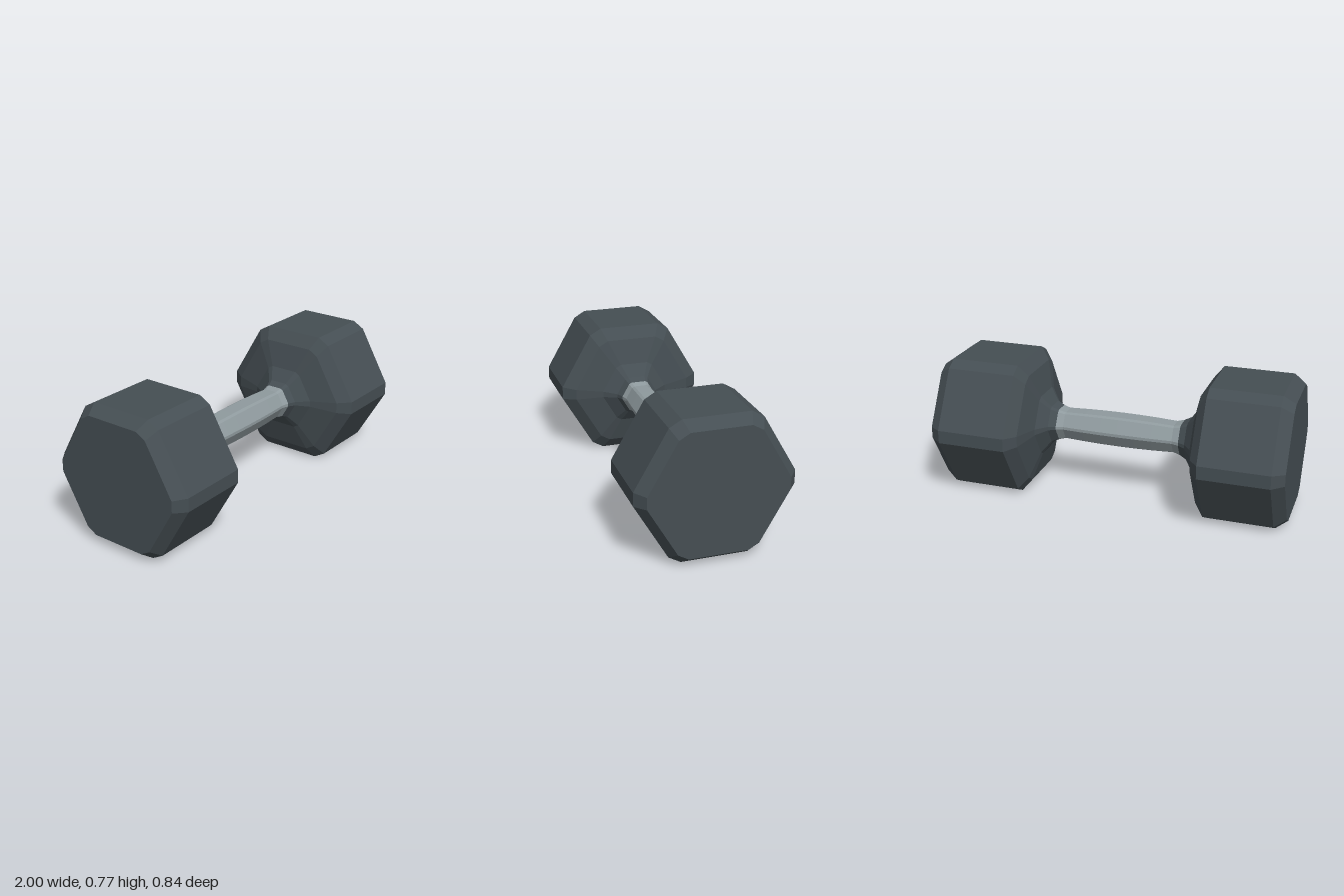
import * as THREE from 'three';

const CENTRE_Y = 0.384;

// Hexagon with bevelled corners as [y, z], counter-clockwise seen from +x
function hexSection() {
  const points = [];
  for (let k = 0; k < 6; k++) {
    const a = k * Math.PI / 3;
    for (const side of [-0.178, 0.178]) {
      points.push([
        0.383 * Math.cos(a) - side * Math.sin(a),
        0.383 * Math.sin(a) + side * Math.cos(a),
      ]);
    }
  }
  return points;
}

// Skin the section along x; stations are [x, scale] with x increasing
function loft(stations, capEnd) {
  const section = hexSection();
  const n = section.length;
  const positions = [];
  const index = [];
  for (const [x, s] of stations) {
    for (const [y, z] of section) positions.push(x, y * s, z * s);
  }
  for (let i = 0; i < stations.length - 1; i++) {
    for (let j = 0; j < n; j++) {
      const a = i * n + j;
      const b = i * n + (j + 1) % n;
      index.push(a, b, b + n, a, b + n, a + n);
    }
  }
  if (capEnd) {
    const base = (stations.length - 1) * n;
    for (let j = 1; j < n - 1; j++) index.push(base, base + j, base + j + 1);
  }
  const geometry = new THREE.BufferGeometry();
  geometry.setAttribute('position', new THREE.Float32BufferAttribute(positions, 3));
  geometry.setIndex(index);
  const faceted = geometry.toNonIndexed();
  faceted.computeVertexNormals();
  return faceted;
}

export function createModel() {
  const group = new THREE.Group();
  group.name = 'dumbbell';

  const rubber = new THREE.MeshStandardMaterial({ color: 0x454e53, flatShading: true });
  rubber.name = 'dark rubber';
  const steel = new THREE.MeshStandardMaterial({ color: 0x8f9a9e, flatShading: true });
  steel.name = 'grey steel';

  // Handle, slightly swollen in the middle and flared at its ends
  const half = [[0.1, 0.228], [0.2, 0.222], [0.32, 0.209], [0.36, 0.236]];
  const mirrored = half.map(([x, s]) => [-x, s]).reverse();
  const handle = new THREE.Mesh(loft([...mirrored, [0, 0.23], ...half], false), steel);
  handle.name = 'handle';
  handle.position.y = CENTRE_Y;
  group.add(handle);

  // Heads: flared neck, straight block, bevelled outer face
  const headGeometry = loft([
    [0.36, 0.236], [0.4, 0.285], [0.45, 0.46], [0.492, 0.83],
    [0.545, 1], [0.935, 1], [1, 0.881],
  ], true);
  for (const [name, turn] of [['leftHead', 0], ['rightHead', Math.PI]]) {
    const head = new THREE.Mesh(headGeometry, rubber);
    head.name = name;
    head.rotation.y = turn;
    head.position.y = CENTRE_Y;
    group.add(head);
  }

  return group;
}
